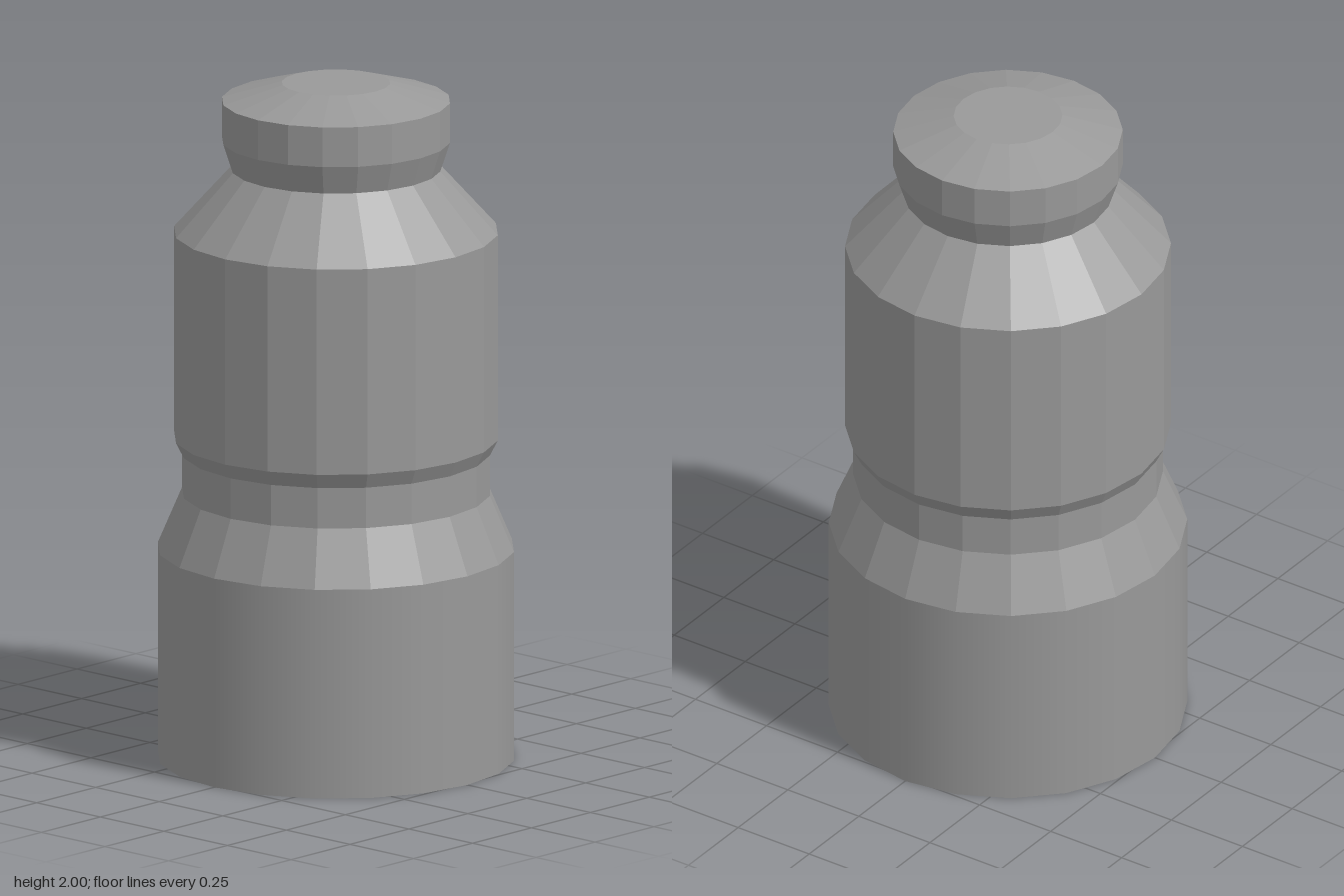
import * as THREE from 'three';

const SIDES = 20;

export function createModel() {
  const group = new THREE.Group();
  const grey = new THREE.MeshStandardMaterial({ color: 0x999999 });
  grey.name = 'plain grey';

  const add = (name, geometry) => {
    const mesh = new THREE.Mesh(geometry, grey);
    mesh.name = name;
    group.add(mesh);
    return mesh;
  };

  // One open ring of the turned body, between two [radius, height] points
  const band = (name, [r0, y0], [r1, y1], smooth = false) => {
    let g = new THREE.CylinderGeometry(r1, r0, y1 - y0, SIDES, 1, true);
    g.translate(0, (y0 + y1) / 2, 0);
    if (!smooth) {
      g = g.toNonIndexed();
      g.computeVertexNormals(); // faceted sides
    }
    add(name, g);
  };

  // Flat end disc whose corners line up with the rings
  const disc = (name, radius, y, up) => {
    const g = new THREE.CircleGeometry(radius, SIDES);
    g.rotateX(up ? -Math.PI / 2 : Math.PI / 2);
    g.translate(0, y, 0);
    add(name, g);
  };

  // Profile from the foot to the cap; each entry names the band above it
  const profile = [
    [0.517, 0, 'base'],
    [0.517, 0.62, 'lowerTaper'],
    [0.447, 0.785, 'waist'],
    [0.447, 0.905, 'waistFlare'],
    [0.47, 0.95, 'upperBody'],
    [0.47, 1.56, 'shoulder'],
    [0.303, 1.745, 'capFlare'],
    [0.331, 1.83, 'capSide'],
    [0.331, 1.948, 'capBevel'],
    [0.157, 2],
  ];
  for (let i = 0; i < profile.length - 1; i++) {
    band(profile[i][2], profile[i], profile[i + 1], i === 0);
  }

  disc('underside', 0.517, 0, false);
  disc('capTop', 0.157, 2, true);

  return group;
}
